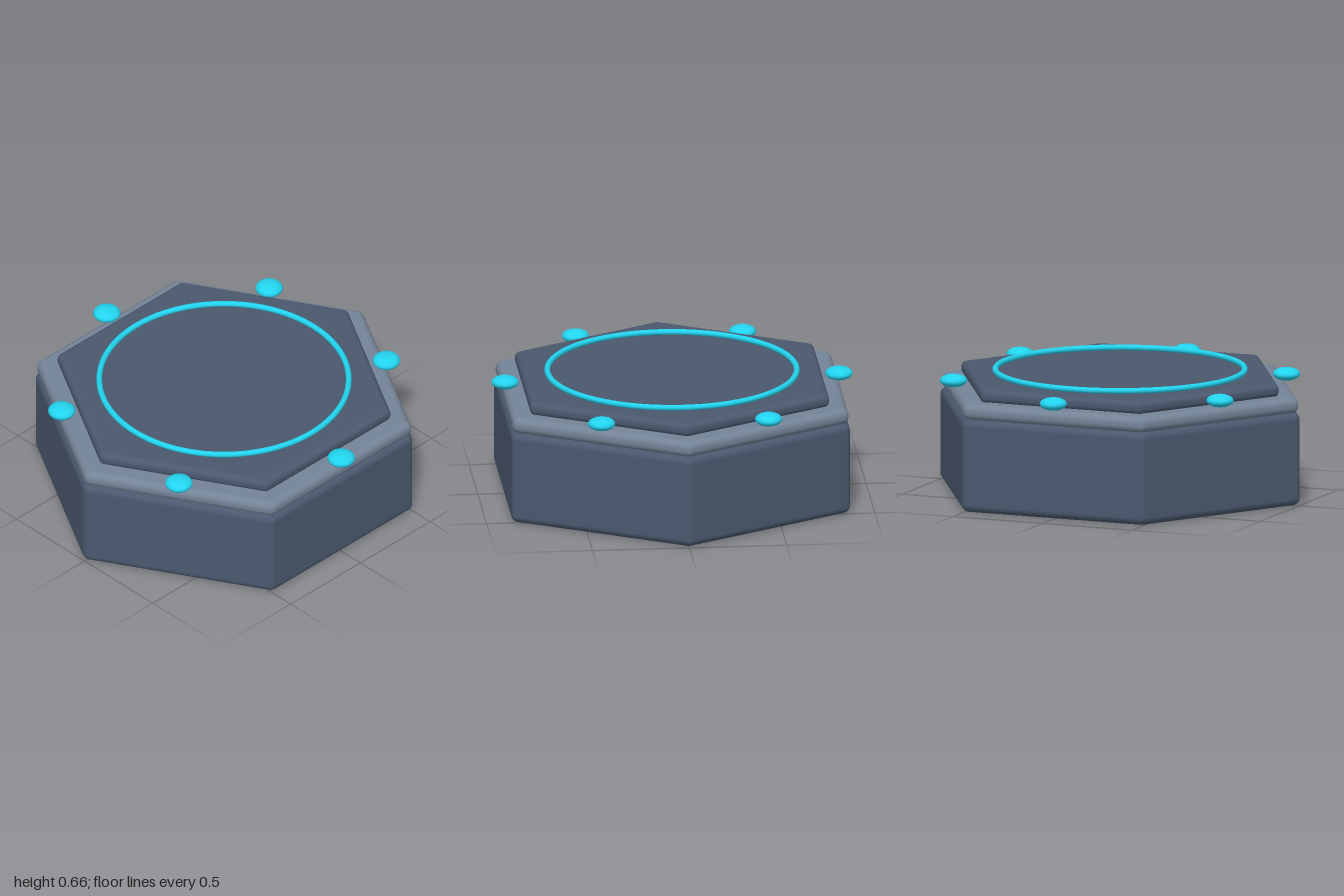
import * as THREE from 'three';

const slate = new THREE.MeshStandardMaterial({ color: 0x4a586e });
const steel = new THREE.MeshStandardMaterial({ color: 0x748397 });
const cyan = new THREE.MeshStandardMaterial({ color: 0x22d3ee });

// Hexagonal slab with points on z, every edge and corner rounded by radius r.
function roundedHex(apothem, y0, y1, r, seg = 6) {
  const inner = (apothem - r) / Math.cos(Math.PI / 6);
  const rows = [{ phi: -Math.PI / 2, y: y0, centre: true }];
  for (let i = 0; i <= seg; i++) rows.push({ phi: (i / seg - 1) * Math.PI / 2, y: y0 + r });
  for (let i = 0; i <= seg; i++) rows.push({ phi: (i / seg) * Math.PI / 2, y: y1 - r });
  rows.push({ phi: Math.PI / 2, y: y1, centre: true });

  // corner angle and outward angle for each step round the outline
  const outline = [];
  for (let k = 0; k <= 6; k++) {
    for (let i = 0; i <= seg; i++) {
      if (k === 6 && i > 0) break;
      outline.push([k * Math.PI / 3, (k + i / seg - 0.5) * Math.PI / 3]);
    }
  }

  const pos = [], nor = [], idx = [], n = outline.length;
  for (const { phi, y, centre } of rows) {
    const c = Math.cos(phi), s = Math.sin(phi);
    for (const [corner, a] of outline) {
      const nx = c * Math.sin(a), nz = c * Math.cos(a);
      if (centre) pos.push(0, y, 0);
      else pos.push(inner * Math.sin(corner) + r * nx, y + r * s, inner * Math.cos(corner) + r * nz);
      nor.push(nx, s, nz);
    }
  }
  for (let j = 0; j < rows.length - 1; j++) {
    for (let i = 0; i < n - 1; i++) {
      const a = j * n + i, b = a + 1, d = a + n, e = d + 1;
      idx.push(a, b, e, a, e, d);
    }
  }
  const g = new THREE.BufferGeometry();
  g.setAttribute('position', new THREE.Float32BufferAttribute(pos, 3));
  g.setAttribute('normal', new THREE.Float32BufferAttribute(nor, 3));
  g.setIndex(idx);
  return g;
}

export function createModel() {
  const model = new THREE.Group();
  model.name = 'hexPlatform';
  const add = (name, geometry, material, parent = model) => {
    const mesh = new THREE.Mesh(geometry, material);
    mesh.name = name;
    parent.add(mesh);
    return mesh;
  };

  // Stacked hexagonal slabs
  add('base', roundedHex(0.872, 0, 0.485, 0.04), slate);
  add('rim', roundedHex(0.865, 0.478, 0.562, 0.038), steel);
  add('topPlate', roundedHex(0.77, 0.555, 0.625, 0.03), slate);

  // Glowing ring on the top plate
  const ring = add('glowRing', new THREE.TorusGeometry(0.64, 0.015, 12, 96), cyan);
  ring.rotation.x = Math.PI / 2;
  ring.position.y = 0.641;

  // Flattened lights hovering above the middle of each side
  const lights = new THREE.Group();
  lights.name = 'lights';
  model.add(lights);
  const lightGeometry = new THREE.SphereGeometry(0.07, 32, 20);
  for (let i = 0; i < 6; i++) {
    const a = i * Math.PI / 3;
    const light = add('light' + (i + 1), lightGeometry, cyan, lights);
    light.scale.y = 0.48;
    light.position.set(0.86 * Math.cos(a), 0.6, 0.86 * Math.sin(a));
  }
  return model;
}
